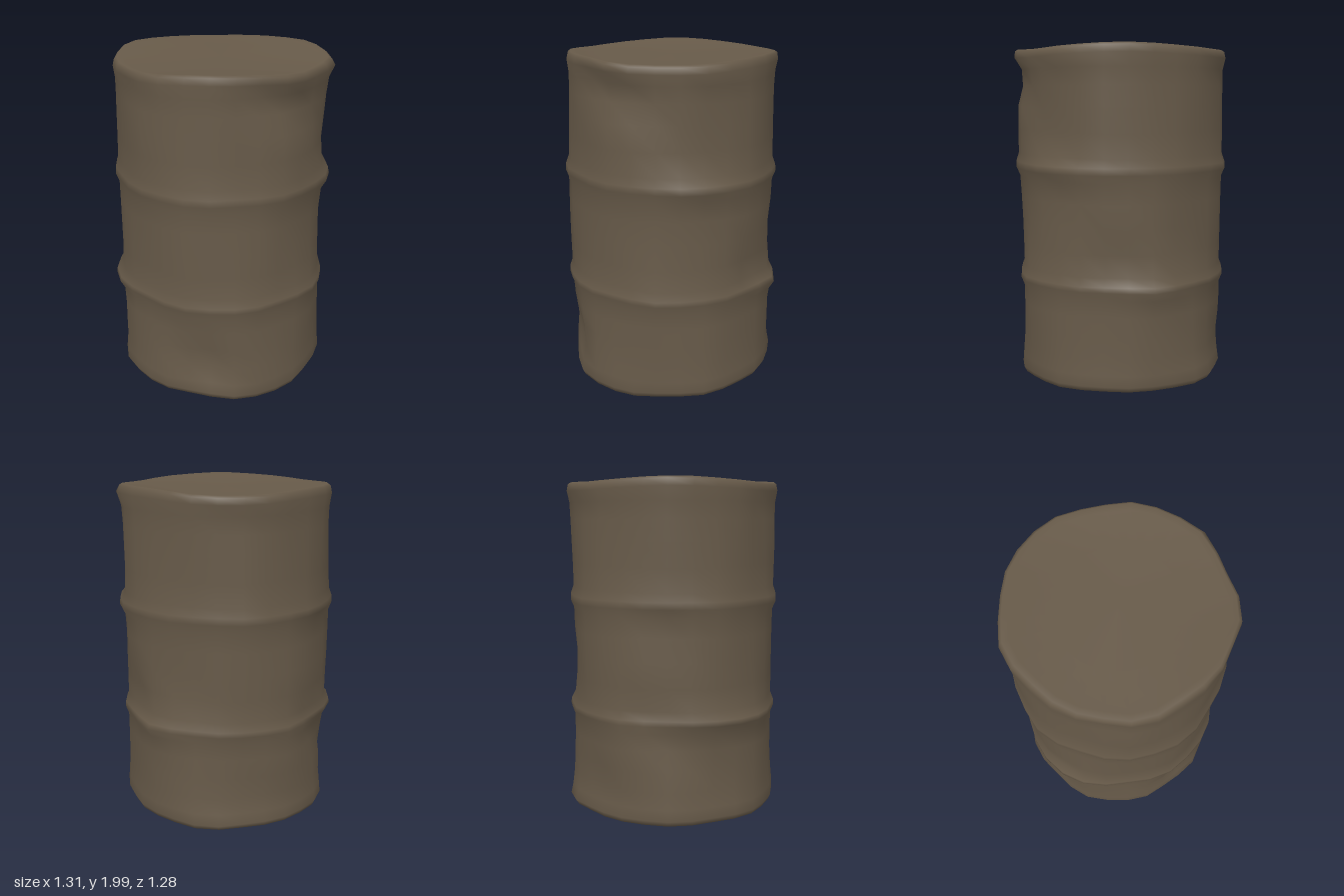
import * as THREE from 'three';
import { mergeVertices } from 'three/addons/utils/BufferGeometryUtils.js';

// Profile from the bottom centre, over both ribs, to the lid centre: [radius, height]
const PROFILE = [
  [0, 0.035], [0.35, 0.035], [0.56, 0.03], [0.61, 0.025], [0.625, 0.055], [0.62, 0.12], [0.615, 0.22],
  [0.615, 0.34], [0.615, 0.46], [0.616, 0.56], [0.636, 0.61], [0.634, 0.64], [0.615, 0.69],
  [0.615, 0.82], [0.615, 0.96], [0.615, 1.1], [0.616, 1.22], [0.636, 1.27], [0.634, 1.31],
  [0.617, 1.36], [0.615, 1.5], [0.615, 1.64], [0.615, 1.76], [0.617, 1.86], [0.628, 1.93],
  [0.62, 1.968], [0.605, 1.98], [0.57, 1.973], [0.35, 1.965], [0, 1.962],
];

// Dents (negative) and bulges (positive): [angle from front in degrees, height, angle width, height width, depth]
const DENTS = [
  [0, 0.25, 14, 0.14, -0.05], [-25, 0.15, 12, 0.1, 0.012], [25, 0.16, 12, 0.1, 0.012],
  [24, 1.82, 10, 0.1, -0.03], [42, 1.8, 9, 0.1, -0.04], [56, 1.76, 9, 0.1, -0.035],
  [42, 1.95, 10, 0.04, 0.02], [90, 1.92, 14, 0.05, 0.025], [90, 1.28, 16, 0.06, 0.035],
  [-78, 0.62, 16, 0.05, 0.03], [-90, 0.28, 14, 0.12, -0.02], [-108, 0.48, 14, 0.09, -0.03],
  [-128, 0.66, 14, 0.08, -0.02], [-118, 1.16, 12, 0.08, -0.025], [-150, 0.2, 14, 0.12, -0.02],
  [155, 0.9, 16, 0.15, -0.02], [140, 0.6, 14, 0.05, 0.025], [125, 0.75, 14, 0.12, -0.03],
  [180, 0.06, 16, 0.06, 0.02], [-170, 1.95, 16, 0.04, 0.02], [-45, 1.85, 14, 0.12, -0.02],
  [80, 1.5, 14, 0.15, -0.015], [60, 1.0, 16, 0.2, -0.02],
];

function bump(angle, y) {
  let sum = 0;
  for (const [a, h, aw, hw, depth] of DENTS) {
    const da = ((angle - a + 540) % 360 - 180) / aw;
    const dh = (y - h) / hw;
    sum += depth * Math.exp(-da * da - dh * dh);
  }
  return sum;
}

function createDrum() {
  const points = PROFILE.map(([r, y]) => new THREE.Vector2(r, y));
  let geometry = new THREE.LatheGeometry(points, 28);
  geometry.deleteAttribute('uv');
  geometry.deleteAttribute('normal');
  geometry = mergeVertices(geometry, 1e-4);

  const pos = geometry.attributes.position;
  for (let i = 0; i < pos.count; i++) {
    const x = pos.getX(i), y = pos.getY(i), z = pos.getZ(i);
    const r = Math.hypot(x, z);
    const phi = Math.atan2(x, z);
    const edge = THREE.MathUtils.smoothstep(r, 0.3, 0.6);
    // Battered, uneven outline
    const wobble = 0.008 * Math.sin(5 * phi + y * 2.5) + 0.007 * Math.sin(9 * phi - y * 3);
    const radius = r + edge * (wobble + bump(THREE.MathUtils.radToDeg(phi), y));
    // Warped top and bottom rims
    const top = THREE.MathUtils.smoothstep(y, 1.8, 1.97) * edge * 0.012 * Math.sin(3 * phi + 1.2);
    const low = Math.exp(-Math.pow((phi - 0.65) / 0.5, 2));
    const bottom = (1 - THREE.MathUtils.smoothstep(y, 0.02, 0.25)) * edge * (0.005 - 0.028 * low);
    pos.setXYZ(i, radius * Math.sin(phi) - 0.008, y + top + bottom, radius * Math.cos(phi) + 0.005);
  }
  geometry.computeVertexNormals();
  return geometry;
}

export function createModel() {
  const group = new THREE.Group();
  group.name = 'dentedBarrel';
  const rust = new THREE.MeshStandardMaterial({ color: 0x675a49 });
  rust.name = 'dullBrown';

  const drum = new THREE.Mesh(createDrum(), rust);
  drum.name = 'barrelBody';
  group.add(drum);
  return group;
}
